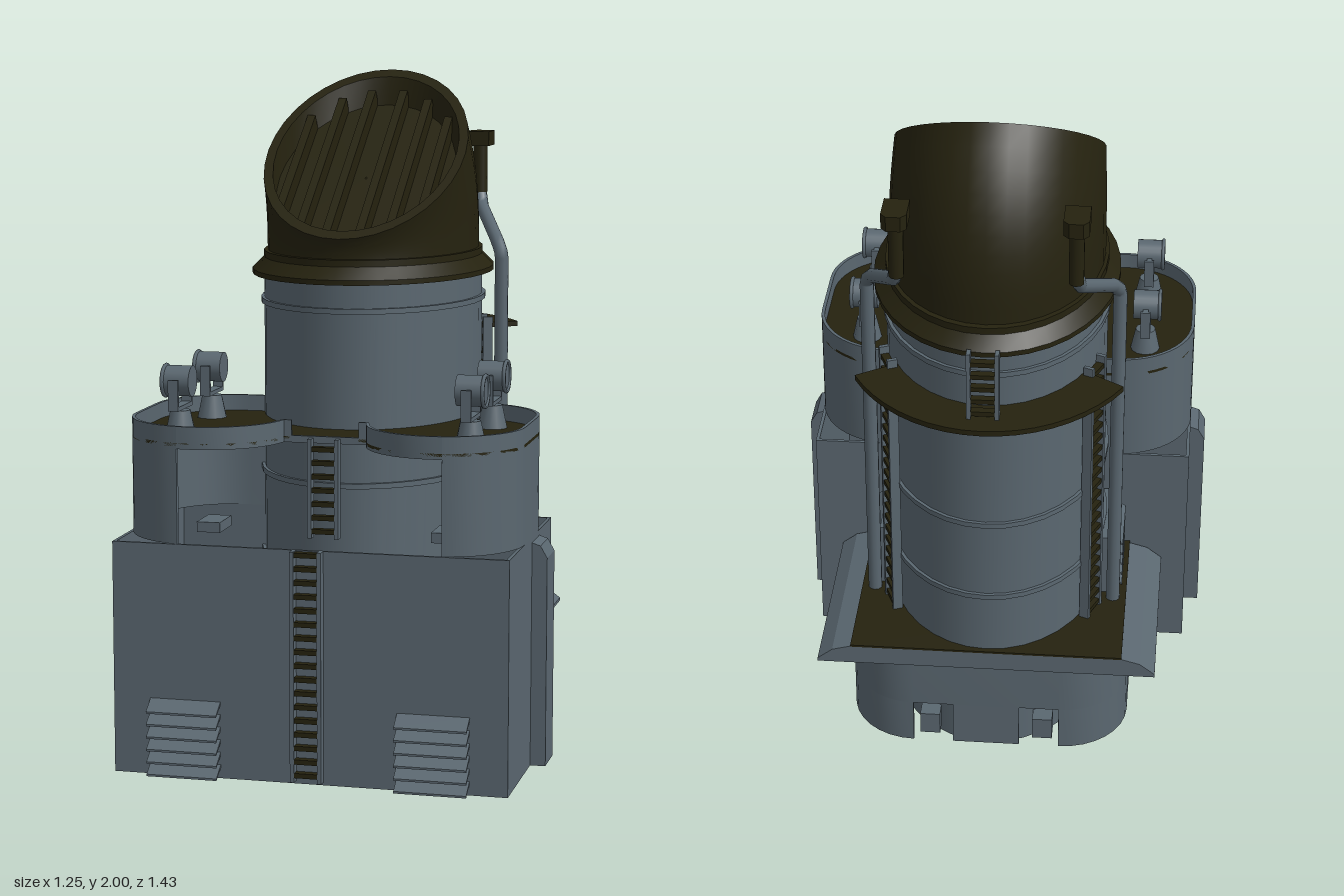
import * as THREE from 'three';
import { toCreasedNormals } from 'three/addons/utils/BufferGeometryUtils.js';

const grey = new THREE.MeshStandardMaterial({ color: 0x5a6770, side: THREE.DoubleSide });
grey.name = 'blue grey paint';
const dark = new THREE.MeshStandardMaterial({ color: 0x25220f, side: THREE.DoubleSide });
dark.name = 'dark olive paint';

const CZ = -0.13; // funnel centre in z
const RX = 0.325, RZ = 0.45; // funnel half widths
const V = (x, y, z) => new THREE.Vector3(x, y, z);

function add(parent, name, geo, mat, x = 0, y = 0, z = 0) {
  const m = new THREE.Mesh(geo, mat);
  m.name = name;
  m.position.set(x, y, z);
  parent.add(m);
  return m;
}
const box = (p, name, mat, w, h, d, x, y, z) => add(p, name, new THREE.BoxGeometry(w, h, d), mat, x, y, z);

// Extrude a plan outline of [x, z] points from y0 to y1
function plan(pts, y0, y1, hole) {
  const s = new THREE.Shape(pts.map(([x, z]) => new THREE.Vector2(x, z)));
  if (hole) s.holes.push(new THREE.Path(hole.map(([x, z]) => new THREE.Vector2(x, z))));
  const g = new THREE.ExtrudeGeometry(s, { depth: y1 - y0, bevelEnabled: false });
  return toCreasedNormals(g.rotateX(Math.PI / 2).translate(0, y1, 0), 0.6);
}

// Thin upright wall that follows an open path of [x, z] points
function wall(pts, y0, y1, t = 0.01) {
  const inner = pts.map(([x, z], i) => {
    const a = pts[Math.max(i - 1, 0)], b = pts[Math.min(i + 1, pts.length - 1)];
    const dx = b[0] - a[0], dz = b[1] - a[1], l = Math.hypot(dx, dz);
    return [x + dz / l * t, z - dx / l * t];
  });
  return plan([...pts, ...inner.reverse()], y0, y1);
}

// Points of an arc in plan, angles in degrees
function arc(cx, cz, rx, rz, a0, a1, n) {
  return Array.from({ length: n + 1 }, (_, i) => {
    const a = THREE.MathUtils.degToRad(a0 + (a1 - a0) * i / n);
    return [cx + rx * Math.cos(a), cz + rz * Math.sin(a)];
  });
}

// Skin a stack of closed rings of equal length
function loft(rings) {
  const n = rings[0].length, idx = [];
  for (let r = 0; r < rings.length - 1; r++) for (let i = 0; i < n; i++) {
    const a = r * n + i, b = r * n + (i + 1) % n;
    idx.push(a, a + n, b, b, a + n, b + n);
  }
  const g = new THREE.BufferGeometry().setFromPoints(rings.flat());
  g.setIndex(idx);
  return toCreasedNormals(g, 0.6);
}
const N = 36;
const oval = (rx, rz, y) => arc(0, CZ, rx, rz, 0, 360 * (N - 1) / N, N - 1).map(([x, z]) => V(x, y, z));

// Ladder with grey rails and dark rungs, facing +z
function ladder(parent, name, x, z, y0, y1, turn = 0) {
  const g = new THREE.Group();
  g.name = name;
  for (const s of [-1, 1]) box(g, 'ladderRail', grey, 0.012, y1 - y0, 0.03, s * 0.04, (y0 + y1) / 2, 0);
  for (let y = y0 + 0.02; y < y1; y += 0.04) box(g, 'ladderRung', dark, 0.07, 0.014, 0.024, 0, y, 0);
  g.position.set(x, 0, z);
  g.rotation.y = turn;
  parent.add(g);
}

// Stack of sloping vent slats, facing +z
function vent(parent, name, w, count, x, y, z, turn = 0) {
  const g = new THREE.Group();
  g.name = name;
  for (let i = 0; i < count; i++) {
    const slat = new THREE.Shape([[0, 0.03], [0.045, 0], [0.045, -0.006], [0, 0.02]].map(p => new THREE.Vector2(...p)));
    const geo = new THREE.ExtrudeGeometry(slat, { depth: w, bevelEnabled: false });
    add(g, 'ventSlat', geo.translate(0, 0, -w / 2).rotateY(-Math.PI / 2), grey, 0, i * 0.037, 0);
  }
  g.position.set(x, y, z);
  g.rotation.y = turn;
  parent.add(g);
}

function searchlight(parent, s, z) {
  const g = new THREE.Group();
  g.name = 'searchlight';
  add(g, 'lampFoot', new THREE.CylinderGeometry(0.03, 0.045, 0.07, 12), grey, 0, 1.005, 0);
  box(g, 'yokeBase', grey, 0.03, 0.012, 0.14, 0, 1.05, 0);
  for (const k of [-1, 1]) {
    box(g, 'yokeArm', grey, 0.03, 0.09, 0.01, 0, 1.09, k * 0.066);
    box(g, 'yokePivot', grey, 0.016, 0.016, 0.03, 0, 1.125, k * 0.055);
  }
  const can = new THREE.CylinderGeometry(0.045, 0.045, 0.08, 20).rotateZ(Math.PI / 2);
  add(g, 'lampBody', can, grey, s * 0.002, 1.125, 0);
  add(g, 'lampRim', new THREE.TorusGeometry(0.045, 0.006, 6, 20).rotateY(Math.PI / 2), grey, s * 0.042, 1.125, 0);
  g.position.set(s * 0.43, 0, z);
  parent.add(g);
}

export function createModel() {
  const root = new THREE.Group();
  root.name = 'shipFunnel';

  // Lower casing: hollow box with open top and bottom
  const rect = (x, z0, z1) => [[-x, z0], [x, z0], [x, z1], [-x, z1]];
  add(root, 'lowerCasing', plan(rect(0.58, 0.01, 0.67), 0, 0.68, rect(0.57, 0.02, 0.66)), grey);

  // Upper casing: two rounded lobes, open at the front below the deck
  const side = [...arc(0.35, 0.44, 0.23, 0.23, 81, 0, 12), ...arc(0.35, 0.24, 0.23, 0.23, 0, -90, 12)];
  const nose = [[0.1, 0.472], ...arc(0.35, 0.44, 0.23, 0.23, 172, 81, 14)];
  const flip = pts => pts.map(([x, z]) => [-x, z]).reverse();
  add(root, 'upperCasingWall', wall([...side, ...flip(side)], 0.68, 1.02), grey);
  add(root, 'frontBulwarkLeft', wall(nose, 0.955, 1.02), grey);
  add(root, 'frontBulwarkRight', wall(flip(nose), 0.955, 1.02), grey);
  box(root, 'deckEdge', grey, 0.2, 0.02, 0.01, 0, 0.965, 0.468);
  const funnelHole = arc(0, CZ, RX - 0.005, RZ - 0.005, 0, 350, 35);
  const deckFront = arc(0, CZ, RX, RZ, 8, 172, 20);
  const deckOutline = [...nose, ...side, ...flip(side), ...flip(nose)];
  const back = deckOutline.findIndex(p => p[0] < 0);
  const deck = [...deckOutline.slice(0, back), [0.3, 0.01], ...deckFront.filter(p => p[1] > 0.02),
    [-0.3, 0.01], ...deckOutline.slice(back)];
  add(root, 'upperDeck', plan(deck, 0.963, 0.972), dark);

  // Rear base: rounded wall with two gaps at the back
  const flank = [[0.42, 0.01], ...arc(0.22, -0.385, 0.2, 0.2, 0, -90, 8)];
  add(root, 'baseWall', wall([...flank, ...flip(flank)], 0.14, 0.3), grey);
  add(root, 'baseLegLeft', wall(flank, 0, 0.14), grey);
  add(root, 'baseLegRight', wall(flip(flank), 0, 0.14), grey);
  box(root, 'baseLegMiddle', grey, 0.2, 0.14, 0.01, 0, 0.07, -0.58);

  // Base roof with sloping wings
  add(root, 'baseRoof', plan(rect(0.405, -0.595, 0.01), 0.29, 0.348, funnelHole.map(([x, z]) => [x, Math.min(z, 0)])), grey);
  add(root, 'baseRoofTop', plan(rect(0.405, -0.595, 0.01), 0.348, 0.354, funnelHole.map(([x, z]) => [x, Math.min(z, 0)])), dark);

  // Funnel trunk and its hoops
  add(root, 'funnelTrunk', loft([oval(RX, RZ, 0), oval(RX, RZ, 1.41)]), grey);
  for (const y of [0.55, 0.805, 1.32]) {
    add(root, 'funnelHoop', loft([oval(RX, RZ, y - 0.008), oval(RX + 0.01, RZ + 0.01, y - 0.008),
      oval(RX + 0.01, RZ + 0.01, y + 0.008), oval(RX, RZ, y + 0.008)]), grey);
  }
  add(root, 'funnelCollar', loft([oval(0.31, 0.43, 1.4), oval(0.36, 0.495, 1.4), oval(0.36, 0.495, 1.415),
    oval(0.325, 0.455, 1.45), oval(0.325, 0.455, 1.47), oval(0.3, 0.42, 1.47)]), dark);

  // Hood: bulging skin cut by a sloping plane, with a recessed mouth
  const rim = (k, drop) => arc(0, -0.025, 0.305 * k, 0.345 * k, 0, 360 * (N - 1) / N, N - 1)
    .map(([x, z]) => V(x, 1.53 + (0.32 - z) * 0.68 - drop, z));
  const foot = oval(0.315, 0.435, 1.46), top = rim(1, 0);
  const skin = Array.from({ length: 11 }, (_, r) => {
    const t = r / 10, e = Math.pow(t, 2.5);
    return foot.map((p, i) => V(p.x + (top[i].x - p.x) * e, p.y + (top[i].y - p.y) * t, p.z + (top[i].z - p.z) * e));
  });
  add(root, 'funnelHood', loft([...skin, rim(0.91, 0), rim(0.88, 0.08), rim(0.01, 0.08)]), dark);
  for (const s of [-1, 1]) for (const x of [0.05, 0.135, 0.215]) {
    const len = 0.6 * Math.sqrt(1 - (x / 0.275) ** 2) / Math.cos(0.597);
    box(root, 'hoodBar', dark, 0.025, 0.05, len, s * x, 1.715, -0.025).rotation.x = 0.597;
  }

  // Crescent platform behind the funnel
  const outer = arc(0, CZ, 0.46, 0.585, -33, -147, 18), inner = arc(0, CZ, RX - 0.01, RZ - 0.01, -147, -33, 18);
  add(root, 'rearPlatform', plan([...outer, ...inner], 1.198, 1.214), dark);

  // Ladders on the centre line
  ladder(root, 'lowerFrontLadder', 0, 0.685, 0.01, 0.68);
  ladder(root, 'upperFrontLadder', 0, 0.485, 0.68, 0.97);
  ladder(root, 'rearLadder', 0, -0.64, 1.21, 1.425);

  // Everything that is mirrored left and right
  for (const s of [-1, 1]) {
    const wing = new THREE.Shape([[0.405, 0.35], [0.46, 0.335], [0.505, 0.3], [0.505, 0.29], [0.405, 0.29]]
      .map(([x, y]) => new THREE.Vector2(s * x, y)));
    add(root, 'roofWing', new THREE.ExtrudeGeometry(wing, { depth: 0.6, bevelEnabled: false }), grey, 0, 0, -0.595);

    const trunking = new THREE.Shape([[0.575, 0], [0.625, 0], [0.625, 0.62], [0.605, 0.655], [0.575, 0.665]]
      .map(([x, y]) => new THREE.Vector2(s * x, y)));
    add(root, 'sideTrunking', new THREE.ExtrudeGeometry(trunking, { depth: 0.12, bevelEnabled: false }), grey, 0, 0, 0.205);

    box(root, 'ventHousing', grey, 0.1, 0.205, 0.265, s * 0.3, 0.4525, -0.1325);
    vent(root, 'sideVent', 0.205, 5, s * 0.345, 0.365, -0.13, s * Math.PI / 2);
    vent(root, 'frontVent', 0.21, 6, s * 0.365, 0.01, 0.67);
    box(root, 'innerLocker', grey, 0.07, 0.03, 0.12, s * 0.35, 0.695, 0.42);
    box(root, 'baseBlock', grey, 0.06, 0.07, 0.06, s * 0.17, 0.06, -0.55);
    ladder(root, 'sideLadder', s * 0.3, -0.36, 0.35, 1.24, s * 1.97);
    searchlight(root, s, 0.17);
    searchlight(root, s, 0.485);

    // Exhaust pipe with dark upper end
    const path = new THREE.CurvePath();
    const pts = [V(s * 0.365, 0.35, -0.29), V(s * 0.365, 1.44, -0.29), V(s * 0.345, 1.475, -0.325),
      V(s * 0.26, 1.57, -0.5), V(s * 0.25, 1.61, -0.52)];
    for (let i = 1; i < pts.length; i++) path.add(new THREE.LineCurve3(pts[i - 1], pts[i]));
    add(root, 'exhaustPipe', new THREE.TubeGeometry(path, 60, 0.021, 10), grey);
    add(root, 'exhaustTop', new THREE.CylinderGeometry(0.022, 0.022, 0.2, 10), dark, s * 0.25, 1.69, -0.52);
    const cap = new THREE.Shape([[-0.036, -0.47], [0.036, -0.47], [0.036, -0.56], [0.02, -0.578], [-0.02, -0.578], [-0.036, -0.56]]
      .map(p => new THREE.Vector2(...p)));
    const capGeo = new THREE.ExtrudeGeometry(cap, { depth: 0.045, bevelEnabled: false });
    add(root, 'exhaustCap', capGeo.rotateX(Math.PI / 2), dark, s * 0.25, 1.805, 0);
  }
  return root;
}
